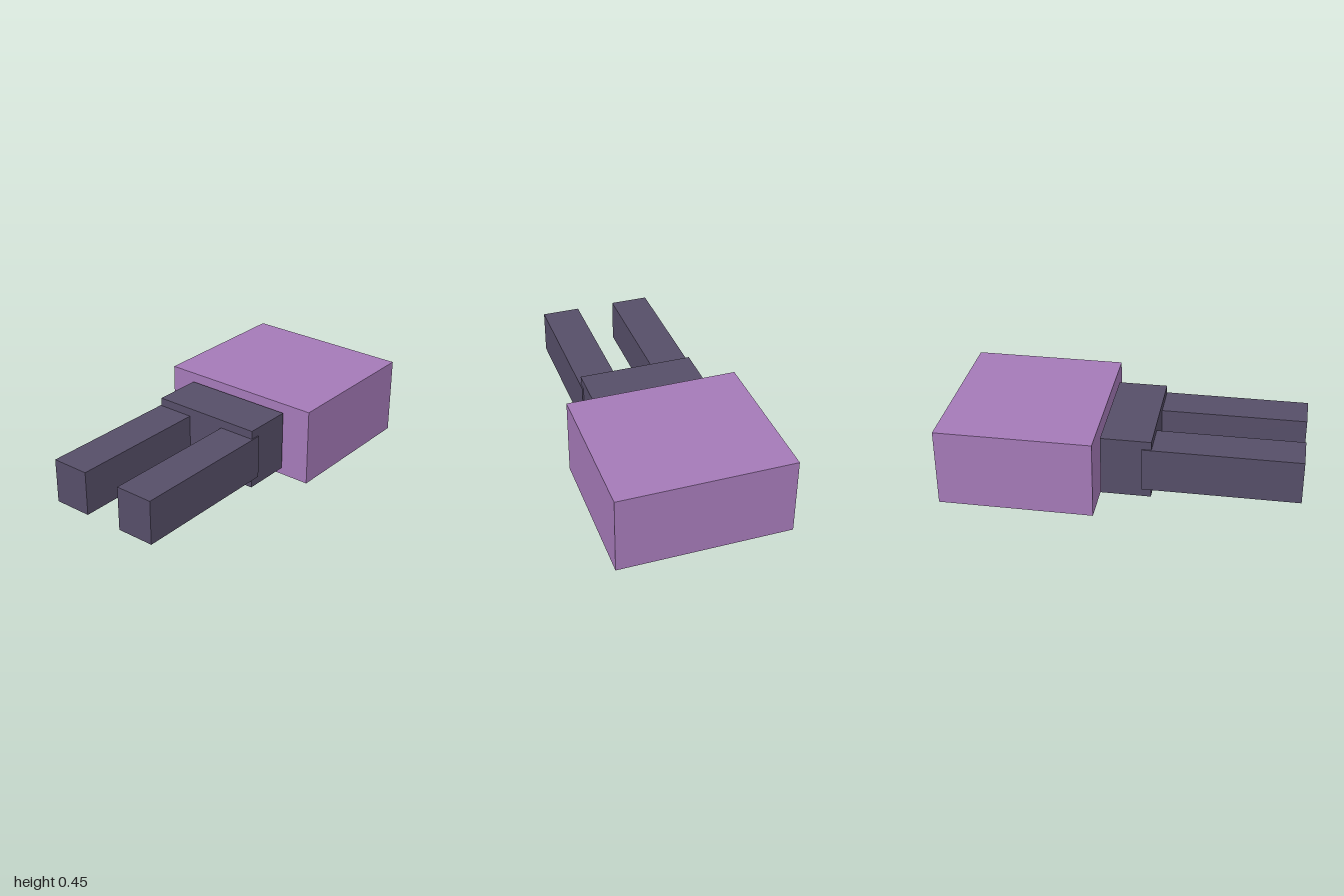
import * as THREE from 'three';

export function createModel() {
  const group = new THREE.Group();
  const purple = new THREE.MeshStandardMaterial({ color: 0xa57ab8 });
  purple.name = 'purple';
  const slate = new THREE.MeshStandardMaterial({ color: 0x564e68 });
  slate.name = 'dark slate';

  // Box given by its lower and upper limits on each axis
  function box(name, material, [x0, x1], [y0, y1], [z0, z1]) {
    const mesh = new THREE.Mesh(new THREE.BoxGeometry(x1 - x0, y1 - y0, z1 - z0), material);
    mesh.position.set((x0 + x1) / 2, (y0 + y1) / 2, (z0 + z1) / 2);
    mesh.name = name;
    group.add(mesh);
  }

  // Large rear block
  box('body', purple, [-0.491, 0.491], [0, 0.448], [-1, -0.125]);
  // Collar, set just clear of the body
  box('collar', slate, [-0.328, 0.328], [0.05, 0.4], [-0.11, 0.173]);
  // Two forward prongs, slightly wider than the collar and sunk into it
  box('leftProng', slate, [0.114, 0.335], [0.098, 0.352], [0.12, 1]);
  box('rightProng', slate, [-0.335, -0.114], [0.098, 0.352], [0.12, 1]);

  return group;
}
